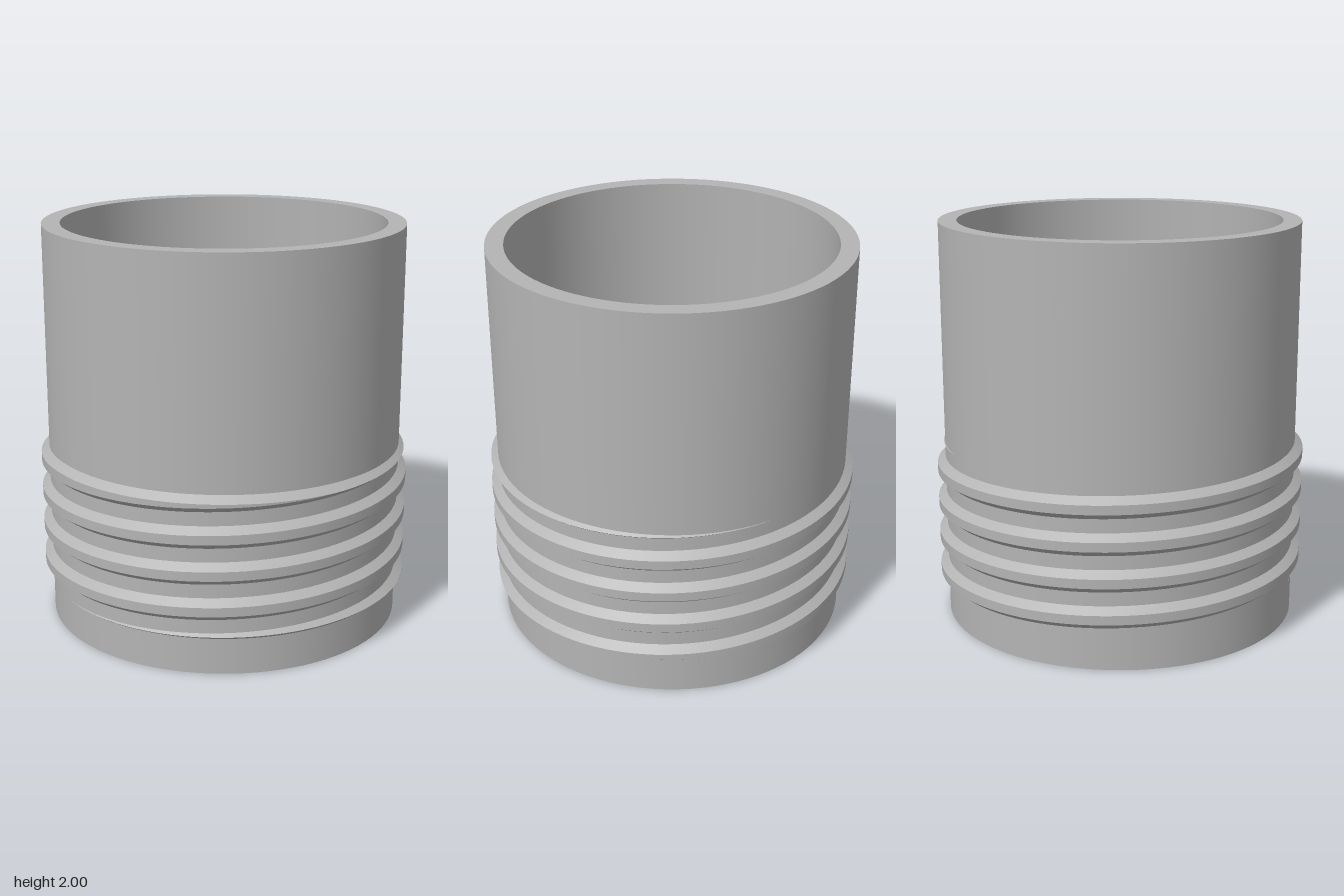
import * as THREE from 'three';

const SEGMENTS = 96;
const OUTER = 0.89;

export function createModel() {
  const model = new THREE.Group();
  model.name = 'threadedTube';
  const grey = new THREE.MeshStandardMaterial({ color: 0xb4b4b4 });
  grey.name = 'plain grey';

  // Tube walls and rims: one lathe per profile edge keeps the corners sharp
  const profile = [[OUTER, 0], [OUTER, 2], [0.8, 2], [0.85, 0], [OUTER, 0]];
  const names = ['outerWall', 'topRim', 'innerWall', 'bottomRim'];
  names.forEach((name, i) => {
    const edge = [profile[i], profile[i + 1]].map(([r, y]) => new THREE.Vector2(r, y));
    const mesh = new THREE.Mesh(new THREE.LatheGeometry(edge, SEGMENTS), grey);
    mesh.name = name;
    model.add(mesh);
  });

  // Screw thread: a trapezoid swept up a helix, pinched to nothing at both limits
  const bottom = 0.18, top = 0.895, pitch = 0.1785;
  const halfWidth = 0.055, depth = 0.04, slope = 1.25;
  const first = Math.floor(-halfWidth / pitch * SEGMENTS);
  const last = Math.ceil((top + halfWidth - bottom) / pitch * SEGMENTS);

  // Section corners from lower root to upper root, as [radius, height]
  const section = (k) => {
    const centre = bottom + pitch * k / SEGMENTS;
    const lo = Math.min(Math.max(centre - halfWidth, bottom), top);
    const hi = Math.max(Math.min(centre + halfWidth, top), lo);
    const h = Math.min(depth, slope * (hi - lo) / 2);
    return [[OUTER, lo], [OUTER + h, lo + h / slope], [OUTER + h, hi - h / slope], [OUTER, hi]];
  };

  const thread = new THREE.Group();
  thread.name = 'screwThread';
  ['lowerFlank', 'crest', 'upperFlank'].forEach((name, j) => {
    const positions = [], indices = [];
    for (let k = first; k <= last; k++) {
      const a = k / SEGMENTS * Math.PI * 2;
      const s = section(k);
      for (const [r, y] of [s[j], s[j + 1]]) positions.push(r * Math.cos(a), y, -r * Math.sin(a));
      if (k < last) {
        const n = (k - first) * 2;
        indices.push(n, n + 2, n + 3, n, n + 3, n + 1);
      }
    }
    const geometry = new THREE.BufferGeometry();
    geometry.setAttribute('position', new THREE.Float32BufferAttribute(positions, 3));
    geometry.setIndex(indices);
    geometry.computeVertexNormals();
    const mesh = new THREE.Mesh(geometry, grey);
    mesh.name = name;
    thread.add(mesh);
  });
  model.add(thread);
  return model;
}
